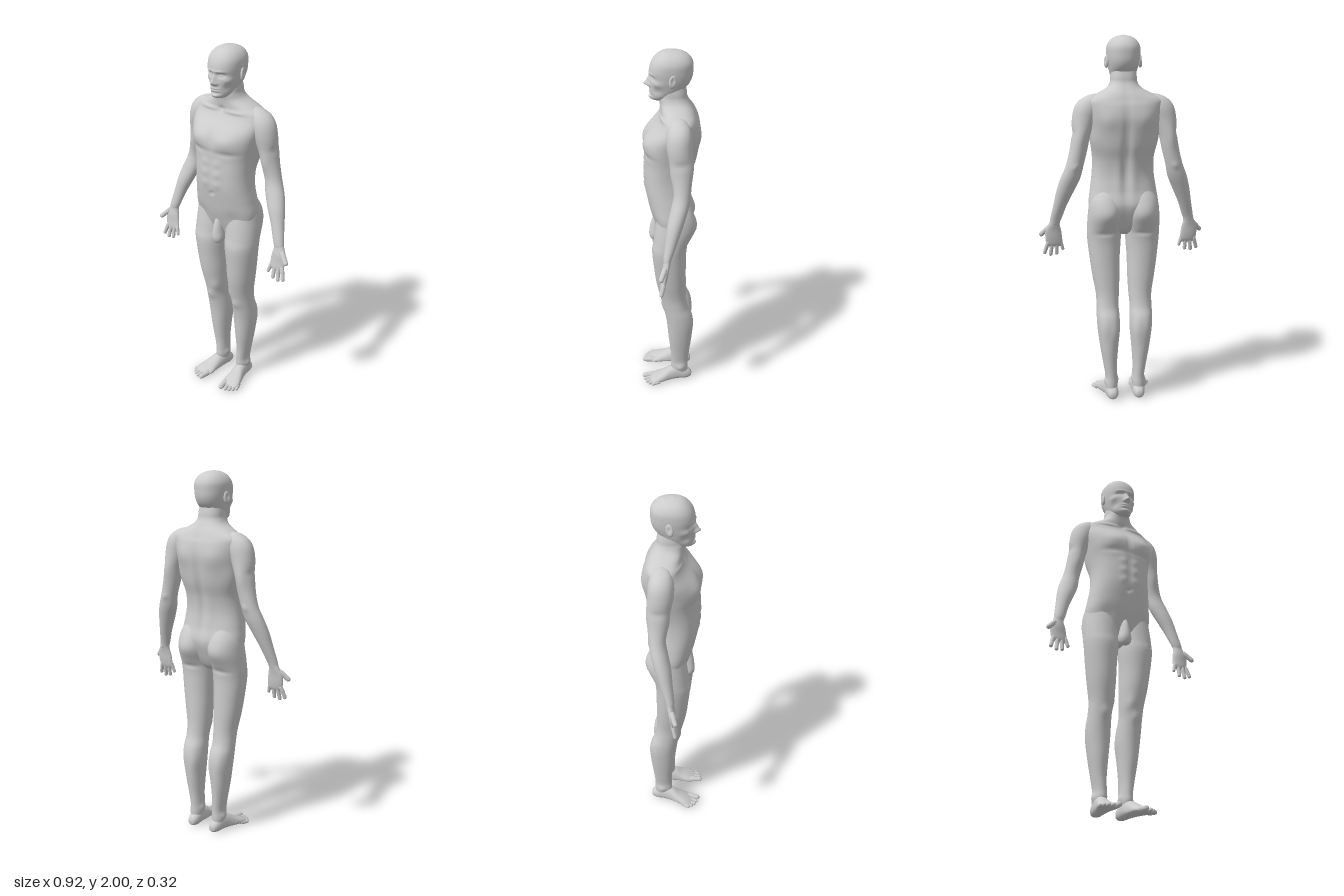
import * as THREE from 'three';
import { mergeGeometries } from 'three/addons/utils/BufferGeometryUtils.js';

// Smooth skin over ascending cross-sections [y, centreX, centreZ, radiusX, front, back].
function loft(rows, segs, steps, square = 1) {
  const spline = new THREE.CubicInterpolant(rows.map((_, i) => i), rows.flat(), 6, new Float32Array(6));
  const rings = (rows.length - 1) * steps;
  const pos = [], index = [];
  const shape = (v) => Math.sign(v) * Math.abs(v) ** square;
  for (let i = 0; i <= rings; i++) {
    const [y, cx, cz, rx, front, back] = spline.evaluate(i / steps);
    for (let j = 0; j < segs; j++) {
      const a = (j / segs) * Math.PI * 2, s = shape(Math.sin(a));
      pos.push(cx + rx * shape(Math.cos(a)), y, cz + s * (s > 0 ? front : back));
    }
  }
  for (let i = 0; i < rings; i++) {
    for (let j = 0; j < segs; j++) {
      const a = i * segs + j, b = i * segs + ((j + 1) % segs);
      index.push(a, a + segs, b, b, a + segs, b + segs);
    }
  }
  // close both ends
  for (const [row, ring] of [[rows[0], 0], [rows[rows.length - 1], rings]]) {
    const tip = pos.length / 3;
    pos.push(row[1], row[0], row[2]);
    for (let j = 0; j < segs; j++) {
      const a = ring * segs + j, b = ring * segs + ((j + 1) % segs);
      index.push(...(ring ? [a, tip, b] : [a, b, tip]));
    }
  }
  const geo = new THREE.BufferGeometry();
  geo.setAttribute('position', new THREE.Float32BufferAttribute(pos, 3));
  geo.setIndex(index);
  geo.computeVertexNormals();
  return geo;
}

// Push the surface with soft brushes [centre, radii, offset], mirrored across x.
function sculpt(geo, brushes) {
  const all = brushes.flatMap(([c, r, d]) => c[0] === 0 ? [[c, r, d]]
    : [[c, r, d], [[-c[0], c[1], c[2]], r, [-d[0], d[1], d[2]]]]);
  const p = geo.attributes.position;
  for (let i = 0; i < p.count; i++) {
    const v = [p.getX(i), p.getY(i), p.getZ(i)], out = [...v];
    for (const [c, r, d] of all) {
      const w = Math.exp(-v.reduce((sum, x, k) => sum + ((x - c[k]) / r[k]) ** 2, 0));
      for (let k = 0; k < 3; k++) out[k] += d[k] * w;
    }
    p.setXYZ(i, ...out);
  }
  geo.computeVertexNormals();
  return geo;
}

// Round-tipped finger or toe between two points.
function digit(from, to, r) {
  const a = new THREE.Vector3(...from), dir = new THREE.Vector3(...to).sub(a), n = dir.length();
  const profile = [[0, 0.9], [n * 0.3, 1], [n * 0.5, 0.93], [n - r * 0.9, 0.88], [n - r * 0.3, 0.62], [n, 0.04]];
  const geo = loft(profile.map(([y, k]) => [y, 0, 0, r * k, r * k, r * k]), 14, 4);
  geo.applyQuaternion(new THREE.Quaternion().setFromUnitVectors(new THREE.Vector3(0, 1, 0), dir.normalize()));
  return geo.translate(a.x, a.y, a.z);
}

function mirrored(geo) {
  const copy = geo.clone().scale(-1, 1, 1), idx = copy.index.array;
  for (let i = 0; i < idx.length; i += 3) [idx[i], idx[i + 1]] = [idx[i + 1], idx[i]];
  copy.computeVertexNormals();
  return copy;
}

export function createModel() {
  const model = new THREE.Group();
  model.name = 'standingFigure';
  const clay = new THREE.MeshStandardMaterial({ color: 0xcccccc });
  clay.name = 'grey clay';
  const add = (name, geo) => {
    const mesh = new THREE.Mesh(geo, clay);
    mesh.name = name;
    model.add(mesh);
  };
  const pair = (name, geo) => {
    add('left' + name, geo);
    add('right' + name, mirrored(geo));
  };

  // Torso and neck
  add('torso', sculpt(loft([
    [0.93, 0, -0.01, 0.03, 0.03, 0.03], [0.96, 0, -0.01, 0.1, 0.06, 0.06],
    [1.02, 0, -0.01, 0.17, 0.085, 0.09], [1.1, 0, -0.01, 0.19, 0.112, 0.115],
    [1.18, 0, 0, 0.181, 0.12, 0.108], [1.26, 0, 0.01, 0.17, 0.125, 0.11],
    [1.34, 0, 0.01, 0.167, 0.128, 0.122], [1.42, 0, 0, 0.176, 0.135, 0.138],
    [1.5, 0, 0, 0.192, 0.138, 0.152], [1.57, 0, -0.01, 0.207, 0.125, 0.15],
    [1.63, 0, -0.03, 0.212, 0.098, 0.122], [1.665, 0, -0.042, 0.205, 0.092, 0.096],
    [1.695, 0, -0.04, 0.15, 0.09, 0.084], [1.725, 0, -0.03, 0.094, 0.084, 0.076],
    [1.755, 0, -0.02, 0.073, 0.08, 0.071], [1.79, 0, -0.015, 0.069, 0.07, 0.071], [1.86, 0, 0, 0.06, 0.06, 0.07],
  ], 96, 8, 0.85), [
    [[0.085, 1.53, 0.11], [0.065, 0.045, 0.06], [0, 0, 0.016]], // chest
    [[0.09, 1.462, 0.12], [0.07, 0.014, 0.06], [0, 0, -0.007]],
    [[0, 1.53, 0.13], [0.014, 0.06, 0.06], [0, 0, -0.008]],
    [[0, 1.33, 0.14], [0.01, 0.1, 0.05], [0, 0, -0.005]], // abdomen
    ...[1.4, 1.34, 1.28].map((y) => [[0.038, y, 0.13], [0.022, 0.02, 0.05], [0, 0, 0.005]]),
    [[0, 1.225, 0.135], [0.011, 0.009, 0.04], [0, 0, -0.012]],
    [[0.11, 1.08, 0.09], [0.05, 0.05, 0.05], [0, 0, -0.008]],
    [[0.09, 1.668, 0.045], [0.07, 0.01, 0.05], [0, 0, 0.007]], // collarbones
    [[0, 1.672, 0.05], [0.016, 0.016, 0.05], [0, 0, -0.012]],
    [[0, 1.38, -0.13], [0.02, 0.24, 0.08], [0, 0, 0.018]], // spine
    [[0.04, 1.24, -0.1], [0.026, 0.1, 0.05], [0, 0, -0.006]],
    [[0.1, 1.56, -0.14], [0.05, 0.06, 0.06], [0, 0, -0.008]], // shoulder blades
    [[0.17, 1.45, -0.07], [0.05, 0.07, 0.06], [0.008, 0, -0.005]],
  ]));

  // Simplified groin
  add('groin', loft([
    [0.912, 0, 0.085, 0.004, 0.004, 0.004], [0.922, 0, 0.083, 0.024, 0.022, 0.03],
    [0.95, 0, 0.08, 0.034, 0.034, 0.05], [0.99, 0, 0.074, 0.029, 0.037, 0.05],
    [1.04, 0, 0.065, 0.022, 0.034, 0.04], [1.09, 0, 0.055, 0.01, 0.02, 0.02],
  ], 32, 6));

  // Head and face
  add('head', sculpt(loft([
    [1.738, 0, 0.055, 0.004, 0.006, 0.006], [1.743, 0, 0.05, 0.03, 0.038, 0.035],
    [1.758, 0, 0.035, 0.05, 0.064, 0.06], [1.79, 0, 0.015, 0.067, 0.085, 0.072],
    [1.825, 0, 0.005, 0.077, 0.097, 0.1], [1.86, 0, 0, 0.085, 0.102, 0.113],
    [1.9, 0, 0, 0.09, 0.105, 0.118], [1.94, 0, -0.003, 0.088, 0.097, 0.113],
    [1.972, 0, -0.005, 0.07, 0.076, 0.09], [1.992, 0, -0.005, 0.04, 0.045, 0.053], [2, 0, -0.005, 0.003, 0.003, 0.003],
  ], 120, 11, 0.9), [
    [[0, 1.848, 0.105], [0.012, 0.022, 0.04], [0, 0, 0.016]], // nose
    [[0, 1.826, 0.105], [0.013, 0.013, 0.04], [0, 0, 0.026]],
    [[0.015, 1.821, 0.1], [0.008, 0.008, 0.04], [0, 0, 0.009]],
    [[0.034, 1.866, 0.09], [0.021, 0.012, 0.04], [0, 0, -0.015]], // eyes
    [[0.034, 1.864, 0.09], [0.012, 0.006, 0.04], [0, 0, 0.007]],
    [[0.03, 1.884, 0.095], [0.026, 0.007, 0.04], [0, 0, 0.006]],
    [[0.062, 1.838, 0.06], [0.02, 0.016, 0.03], [0.004, 0, 0.005]], // cheeks
    [[0.055, 1.8, 0.06], [0.02, 0.02, 0.03], [-0.005, 0, -0.003]],
    [[0, 1.789, 0.1], [0.026, 0.012, 0.04], [0, 0, 0.009]], // mouth
    [[0, 1.789, 0.1], [0.026, 0.003, 0.04], [0, 0, -0.007]],
    [[0, 1.771, 0.1], [0.03, 0.006, 0.04], [0, 0, -0.004]],
    [[0, 1.756, 0.1], [0.024, 0.012, 0.04], [0, 0, 0.01]], // chin
  ]));

  // Ears, hollowed on the outside
  const ear = new THREE.SphereGeometry(1, 28, 20).scale(0.012, 0.034, 0.021);
  sculpt(ear, [[[0.012, 0.006, 0.002], [0.014, 0.018, 0.011], [-0.009, 0, 0]]]);
  pair('Ear', ear.rotateX(-0.15).rotateY(0.3).translate(0.091, 1.862, -0.012));

  // Arms
  pair('Arm', sculpt(loft([
    [0.985, 0.378, 0.025, 0.026, 0.019, 0.018], [1.02, 0.368, 0.02, 0.031, 0.024, 0.023],
    [1.1, 0.345, 0, 0.037, 0.033, 0.033], [1.18, 0.318, -0.02, 0.048, 0.042, 0.042],
    [1.25, 0.292, -0.04, 0.053, 0.045, 0.045], [1.32, 0.27, -0.053, 0.047, 0.043, 0.045],
    [1.4, 0.25, -0.054, 0.047, 0.05, 0.051], [1.48, 0.235, -0.05, 0.05, 0.058, 0.06],
    [1.56, 0.218, -0.045, 0.064, 0.068, 0.064], [1.62, 0.2, -0.045, 0.07, 0.068, 0.062],
    [1.66, 0.185, -0.045, 0.058, 0.055, 0.05], [1.685, 0.165, -0.045, 0.036, 0.035, 0.03], [1.695, 0.16, -0.045, 0.004, 0.004, 0.004],
  ], 44, 7), [
    [[0.245, 1.42, -0.005], [0.03, 0.05, 0.03], [0, 0, 0.006]], // biceps
    [[0.25, 1.46, -0.11], [0.03, 0.06, 0.03], [0, 0, -0.005]],
    [[0.27, 1.31, -0.1], [0.018, 0.016, 0.02], [0, 0, -0.006]], // elbow
    [[0.28, 1.49, -0.05], [0.03, 0.02, 0.04], [-0.005, 0, 0]],
  ]));

  // Hands, palms forward and thumbs outward
  const palm = loft([
    [0.858, 0.375, 0.043, 0.03, 0.005, 0.005], [0.875, 0.376, 0.041, 0.044, 0.013, 0.012],
    [0.91, 0.38, 0.036, 0.046, 0.016, 0.015], [0.95, 0.382, 0.031, 0.043, 0.02, 0.016],
    [0.985, 0.378, 0.025, 0.031, 0.02, 0.018], [1.02, 0.368, 0.02, 0.027, 0.02, 0.02],
  ], 32, 5);
  pair('Hand', mergeGeometries([palm,
    digit([0.41, 0.885, 0.04], [0.432, 0.814, 0.058], 0.0115),
    digit([0.388, 0.88, 0.042], [0.398, 0.802, 0.058], 0.0115),
    digit([0.364, 0.88, 0.042], [0.363, 0.808, 0.056], 0.011),
    digit([0.343, 0.89, 0.042], [0.327, 0.834, 0.052], 0.01),
    digit([0.402, 0.972, 0.034], [0.455, 0.918, 0.062], 0.0145)]));

  // Legs with buttocks
  pair('Leg', sculpt(loft([
    [0.025, 0.077, -0.07, 0.025, 0.03, 0.03], [0.08, 0.077, -0.058, 0.035, 0.052, 0.046],
    [0.13, 0.077, -0.055, 0.033, 0.05, 0.049], [0.2, 0.083, -0.055, 0.038, 0.052, 0.055],
    [0.3, 0.088, -0.055, 0.05, 0.064, 0.067], [0.4, 0.09, -0.055, 0.061, 0.073, 0.073],
    [0.47, 0.092, -0.048, 0.063, 0.076, 0.073], [0.53, 0.093, -0.033, 0.061, 0.072, 0.065],
    [0.6, 0.092, -0.02, 0.064, 0.077, 0.068], [0.7, 0.098, -0.01, 0.075, 0.089, 0.076],
    [0.8, 0.104, -0.005, 0.083, 0.096, 0.08], [0.9, 0.106, 0, 0.092, 0.1, 0.087],
    [0.96, 0.106, -0.006, 0.094, 0.098, 0.094], [1.05, 0.101, -0.02, 0.095, 0.1, 0.113],
    [1.13, 0.097, -0.02, 0.086, 0.085, 0.1], [1.21, 0.09, -0.01, 0.05, 0.05, 0.06],
  ], 48, 8, 0.95), [
    [[0.09, 0.53, 0.04], [0.028, 0.03, 0.04], [0, 0, 0.009]], // knee
    [[0.05, 0.6, 0.04], [0.025, 0.035, 0.04], [-0.002, 0, 0.006]],
    [[0.06, 0.4, -0.12], [0.028, 0.07, 0.04], [-0.004, 0, -0.005]], // calf
    [[0.12, 0.42, -0.12], [0.026, 0.06, 0.04], [0.002, 0, -0.004]],
    [[0.043, 0.105, -0.055], [0.02, 0.018, 0.02], [-0.006, 0, 0]], // ankle
    [[0.111, 0.095, -0.06], [0.02, 0.018, 0.02], [0.006, 0, 0]],
    [[0.09, 1.045, -0.13], [0.07, 0.06, 0.06], [0, 0, -0.01]], // buttock
    [[0.1, 0.945, -0.095], [0.06, 0.014, 0.05], [0, 0, 0.007]],
  ]));

  // Feet: sections run heel to toe, then the loft is laid forward
  const sole = loft([
    [-0.126, 0.074, -0.03, 0.004, 0.004, 0.004], [-0.119, 0.074, -0.03, 0.021, 0.022, 0.022],
    [-0.09, 0.075, -0.035, 0.033, 0.034, 0.04], [-0.045, 0.079, -0.04, 0.036, 0.038, 0.055],
    [0, 0.086, -0.03, 0.04, 0.027, 0.055], [0.04, 0.095, -0.025, 0.047, 0.022, 0.037],
    [0.08, 0.101, -0.02, 0.054, 0.019, 0.023], [0.108, 0.103, -0.016, 0.047, 0.014, 0.013], [0.122, 0.1, -0.014, 0.025, 0.006, 0.006],
  ], 36, 6, 0.9).rotateX(Math.PI / 2);
  pair('Foot', mergeGeometries([sole,
    digit([0.069, 0.02, 0.085], [0.079, 0.015, 0.164], 0.0165),
    digit([0.094, 0.018, 0.09], [0.108, 0.011, 0.156], 0.0115),
    digit([0.113, 0.017, 0.085], [0.13, 0.011, 0.146], 0.0112),
    digit([0.129, 0.016, 0.075], [0.148, 0.011, 0.131], 0.0108),
    digit([0.142, 0.015, 0.063], [0.161, 0.011, 0.113], 0.0106)]));

  return model;
}
